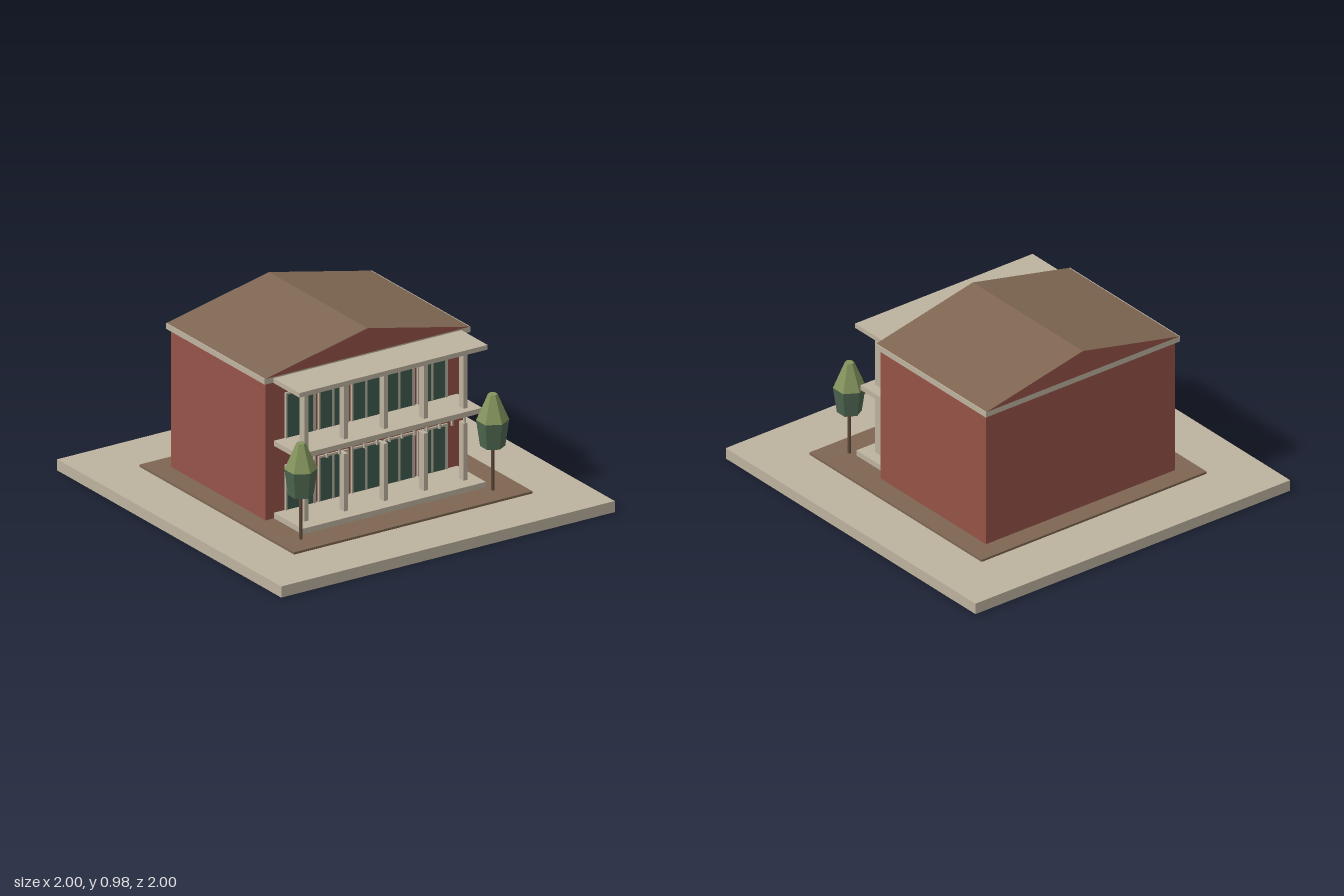
import * as THREE from 'three';

const mat = (name, color) => {
  const m = new THREE.MeshStandardMaterial({ color });
  m.name = name;
  return m;
};

export function createModel() {
  const stone = mat('pale stone', 0xbdb29f);
  const brick = mat('red brick', 0x955347);
  const brown = mat('earth brown', 0x7e6652);
  const glass = mat('green glass', 0x3f5b4e);
  const bark = mat('bark', 0x5f4a3a);
  const leafLight = mat('light leaves', 0x83935c);
  const leafDark = mat('dark leaves', 0x4e6651);
  leafLight.flatShading = leafDark.flatShading = true;

  const model = new THREE.Group();
  model.name = 'house';

  const add = (name, geometry, material, parent = model) => {
    const mesh = new THREE.Mesh(geometry, material);
    mesh.name = name;
    parent.add(mesh);
    return mesh;
  };
  // Box given by its limits on each axis
  const box = (name, material, [x0, x1], [y0, y1], [z0, z1], parent) => {
    const mesh = add(name, new THREE.BoxGeometry(x1 - x0, y1 - y0, z1 - z0), material, parent);
    mesh.position.set((x0 + x1) / 2, (y0 + y1) / 2, (z0 + z1) / 2);
    return mesh;
  };

  // Ground and main block
  box('pavement', stone, [-1, 1], [0, 0.06], [-1, 1]);
  box('soilBed', brown, [-0.715, 0.715], [0.06, 0.072], [-0.69, 0.69]);
  box('walls', brick, [-0.6, 0.6], [0.072, 0.815], [-0.58, 0.265]);
  box('eaves', stone, [-0.617, 0.617], [0.812, 0.842], [-0.6, 0.282]);

  // Gable roof: brick ends, brown slopes
  const gable = new THREE.Shape([
    new THREE.Vector2(-0.612, 0.842),
    new THREE.Vector2(0.612, 0.842),
    new THREE.Vector2(0, 0.975),
  ]);
  add('roof', new THREE.ExtrudeGeometry(gable, { depth: 0.882, bevelEnabled: false }), [brick, brown])
    .position.z = -0.6;

  // Porch slabs
  box('porchFloor', stone, [-0.55, 0.55], [0.072, 0.102], [0.265, 0.52]);
  box('balcony', stone, [-0.55, 0.55], [0.462, 0.49], [0.265, 0.487]);
  box('canopy', stone, [-0.565, 0.563], [0.81, 0.835], [0.265, 0.515]);

  // Small brackets under the balcony edge
  for (let i = -6; i <= 6; i++) {
    const x = i * 0.075;
    box('bracket', stone, [x - 0.005, x + 0.005], [0.432, 0.462], [0.472, 0.485]);
  }

  // Columns and windows on both storeys
  for (const [floor, columnTop] of [[0.102, 0.41], [0.49, 0.8]]) {
    for (let i = -2; i <= 2; i++) {
      const c = i * 0.239;
      box('column', stone, [c - 0.012, c + 0.012], [floor, columnTop], [0.404, 0.446]);

      const w = new THREE.Group();
      w.name = 'window';
      w.position.x = i * 0.198;
      model.add(w);
      const top = floor + 0.245;
      box('pane', glass, [-0.085, 0.085], [floor, top - 0.008], [0.265, 0.27], w);
      box('frameTop', stone, [-0.09, 0.09], [top - 0.011, top], [0.265, 0.275], w);
      for (const x of [-0.085, 0, 0.085])
        box('frameBar', stone, [x - 0.005, x + 0.005], [floor, top - 0.011], [0.265, 0.275], w);
    }
  }

  // Faceted trees at the front corners
  for (const x of [-0.59, 0.56]) {
    const tree = new THREE.Group();
    tree.name = 'tree';
    tree.position.set(x, 0, 0.565);
    model.add(tree);
    add('trunk', new THREE.CylinderGeometry(0.009, 0.009, 0.25, 6), bark, tree).position.y = 0.195;
    add('lowerCrown', new THREE.CylinderGeometry(0.083, 0.063, 0.14, 6), leafDark, tree).position.y = 0.38;
    add('upperCrown', new THREE.CylinderGeometry(0.024, 0.083, 0.14, 6), leafLight, tree).position.y = 0.52;
  }

  return model;
}
